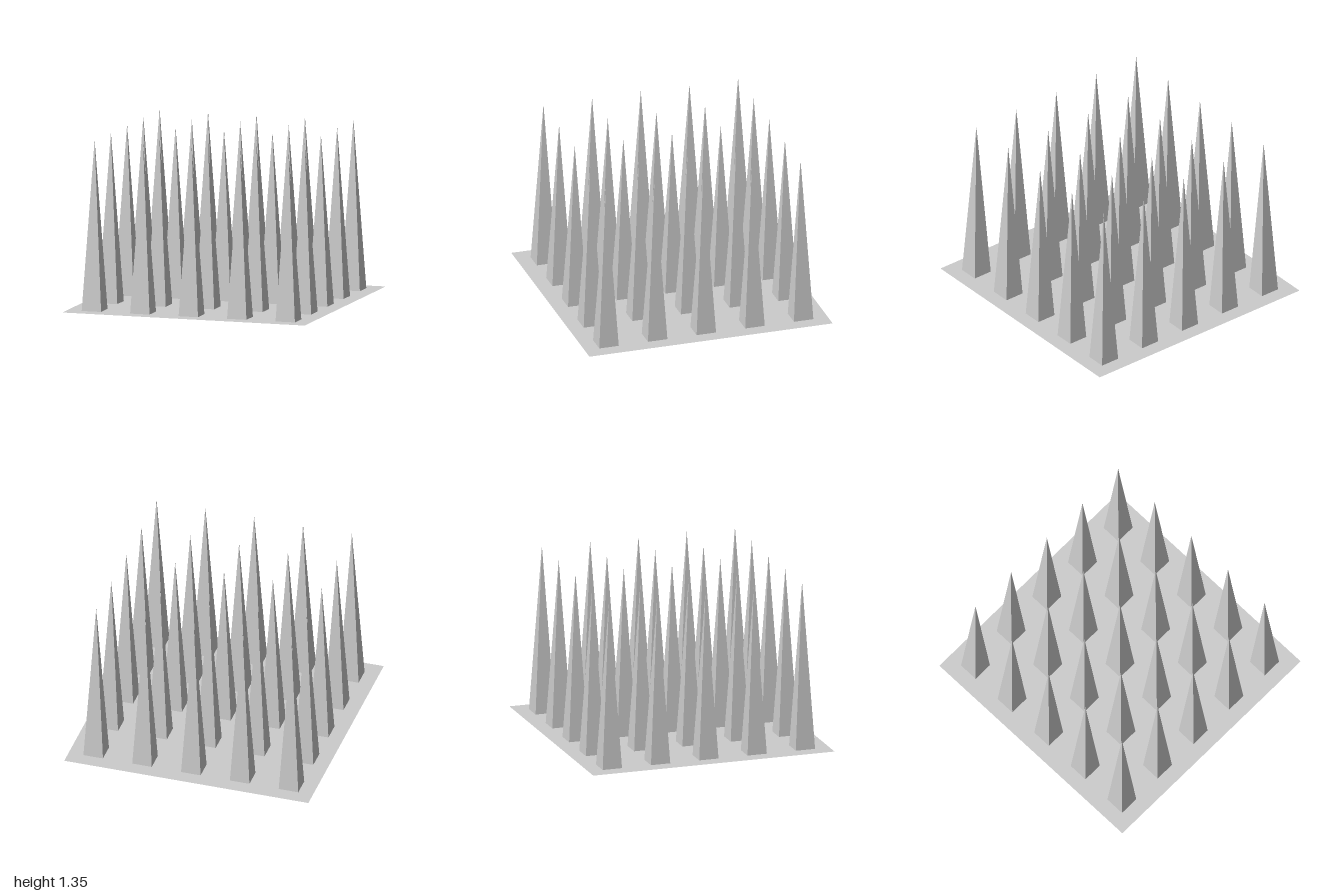
import * as THREE from 'three';

const HALF = 0.08;     // half width of a spike's square base
const HEIGHT = 1.35;
const STEPS = [-0.8, -0.4, 0, 0.4, 0.8];

// Square outline centred on (x, y)
function square(path, x, y, h) {
  path.moveTo(x - h, y - h);
  path.lineTo(x + h, y - h);
  path.lineTo(x + h, y + h);
  path.lineTo(x - h, y + h);
  path.closePath();
  return path;
}

export function createModel() {
  const model = new THREE.Group();
  model.name = 'spikeField';
  const material = new THREE.MeshStandardMaterial({
    color: 0xcccccc, flatShading: true, side: THREE.DoubleSide,
  });

  // Thin ground sheet, open beneath every spike
  const outline = square(new THREE.Shape(), 0, 0, 1);
  for (const x of STEPS) {
    for (const z of STEPS) outline.holes.push(square(new THREE.Path(), x, z, HALF));
  }
  const sheet = new THREE.Mesh(new THREE.ShapeGeometry(outline).rotateX(-Math.PI / 2), material);
  sheet.name = 'baseSheet';
  model.add(sheet);

  // Hollow four-sided spikes in a 5 x 5 grid
  const spikeGeometry = new THREE.ConeGeometry(HALF * Math.SQRT2, HEIGHT, 4, 1, true)
    .rotateY(Math.PI / 4)
    .translate(0, HEIGHT / 2, 0);
  const spikes = new THREE.Group();
  spikes.name = 'spikes';
  for (const x of STEPS) {
    for (const z of STEPS) {
      const spike = new THREE.Mesh(spikeGeometry, material);
      spike.name = 'spike';
      spike.position.set(x, 0, z);
      spikes.add(spike);
    }
  }
  model.add(spikes);
  return model;
}
